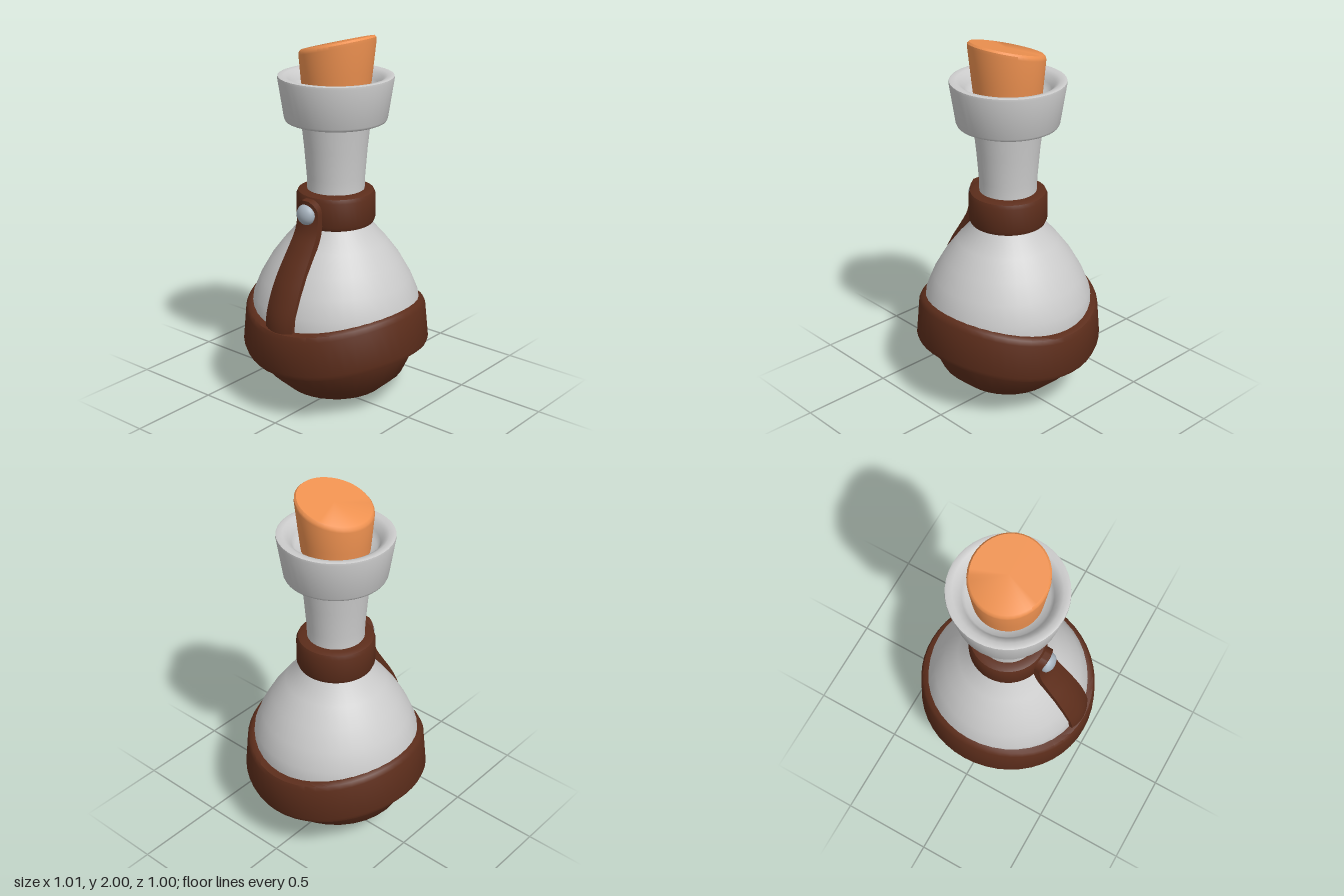
import * as THREE from 'three';
import { toCreasedNormals } from 'three/addons/utils/BufferGeometryUtils.js';

const material = (color) => new THREE.MeshStandardMaterial({ color });
const GLASS = material(0xcccccc);
const LEATHER = material(0x5c2d1b);
const CORK = material(0xee9150);
const METAL = material(0xa6b2bd);

// Turned part from [radius, y] pairs, optionally reshaped by a vertex rule
function turned(name, profile, mat, rule, segments = 40, crease = 0.75) {
  const points = profile.map(([r, y]) => new THREE.Vector2(r, y));
  const geo = new THREE.LatheGeometry(points, segments);
  if (rule) reshape(geo, rule);
  const mesh = new THREE.Mesh(toCreasedNormals(geo, crease), mat);
  mesh.name = name;
  return mesh;
}

function reshape(geo, rule) {
  const pos = geo.attributes.position;
  const v = new THREE.Vector3();
  for (let i = 0; i < pos.count; i++) {
    rule(v.fromBufferAttribute(pos, i));
    pos.setXYZ(i, v.x, v.y, v.z);
  }
}

// Closed ring profile with bevelled corners
function ringProfile(inner, bottomR, topR, y0, y1, b) {
  return [
    [inner, y0], [bottomR - b, y0], [bottomR - b * 0.3, y0 + b * 0.3], [bottomR, y0 + b],
    [topR, y1 - b], [topR - b * 0.3, y1 - b * 0.3], [topR - b, y1], [inner, y1], [inner, y0],
  ];
}

// Strap: a thin slab swept down the front, wrapped slightly around the body
function makeStrap() {
  const path = new THREE.CatmullRomCurve3([
    [0.43, 0.465], [0.57, 0.46], [0.7, 0.415], [0.8, 0.36], [0.9, 0.293],
    [0.99, 0.24], [1.08, 0.222], [1.168, 0.228],
  ].map(([y, z]) => new THREE.Vector3(0, y, z)));
  const geo = new THREE.BoxGeometry(1, 1, 1, 6, 36, 1);
  reshape(geo, (v) => {
    const t = v.y + 0.5;
    const p = path.getPoint(t);
    const tan = path.getTangent(t);
    // Narrows upwards, with a rounded tip
    const taper = 0.182 - 0.042 * THREE.MathUtils.smoothstep(p.y, 0.65, 1.1);
    const tip = Math.max(0, (p.y - 1.1) / 0.07);
    const x = v.x * taper * Math.sqrt(Math.max(0.12, 1 - tip * tip));
    const d = v.z * 0.038;
    v.set(x, p.y - tan.z * d, p.z + tan.y * d - 2.8 * x * x);
  });
  const mesh = new THREE.Mesh(toCreasedNormals(geo, 0.8), LEATHER);
  mesh.name = 'strap';
  return mesh;
}

export function createModel() {
  const model = new THREE.Group();
  model.name = 'corkedFlask';

  // Glass body and flaring neck
  model.add(turned('glassBody', [
    [0.44, 0.4], [0.455, 0.5], [0.443, 0.6], [0.402, 0.7], [0.345, 0.8], [0.27, 0.9],
    [0.19, 0.99], [0.16, 1.06], [0.15, 1.14], [0.153, 1.25], [0.165, 1.4], [0.182, 1.56],
  ], GLASS));

  // Leather cup around the base
  model.add(turned('baseCup', [
    [0, 0], [0.14, 0.02], [0.27, 0.08], [0.37, 0.17], [0.43, 0.3], [0.452, 0.43], [0.45, 0.5],
  ], LEATHER, null, 32, 1.2));

  // Broad band, higher at the sides than at front and back
  model.add(turned('bellyBand', ringProfile(0.4, 0.5, 0.497, 0.265, 0.522, 0.035), LEATHER, (v) => {
    const side = v.x * v.x / (v.x * v.x + v.z * v.z);
    const up = (v.y - 0.265) / 0.257;
    v.x *= THREE.MathUtils.lerp(1.015, 0.945, up);
    v.y += 0.078 * side;
  }, 48));

  // Collar at the foot of the neck
  model.add(turned('neckCollar', ringProfile(0.145, 0.208, 0.208, 0.995, 1.183, 0.03), LEATHER));

  // Thick lip with a hollow top
  model.add(turned('lip', [
    [0.16, 1.545], [0.25, 1.545], [0.262, 1.55], [0.268, 1.562], [0.3, 1.77], [0.299, 1.782],
    [0.29, 1.785], [0.265, 1.782], [0.242, 1.768], [0.222, 1.735], [0.205, 1.705], [0.16, 1.69],
  ], GLASS, null, 40, 1));

  // Stopper with a slanted top
  model.add(turned('cork', [
    [0, 1.6], [0.165, 1.6], [0.184, 1.78], [0.198, 1.925], [0.197, 1.94], [0.187, 1.951], [0, 1.951],
  ], CORK, (v) => {
    const t = THREE.MathUtils.clamp((v.y - 1.6) / 0.34, 0, 1);
    v.y += 0.26 * v.x * t;
    v.x += 0.01 * t;
  }));

  // Strap and its rivet
  model.add(makeStrap());
  const rivet = new THREE.Mesh(new THREE.SphereGeometry(0.055, 24, 16), METAL);
  rivet.name = 'rivet';
  rivet.scale.z = 0.7;
  rivet.position.set(0, 1.092, 0.24);
  model.add(rivet);

  return model;
}
